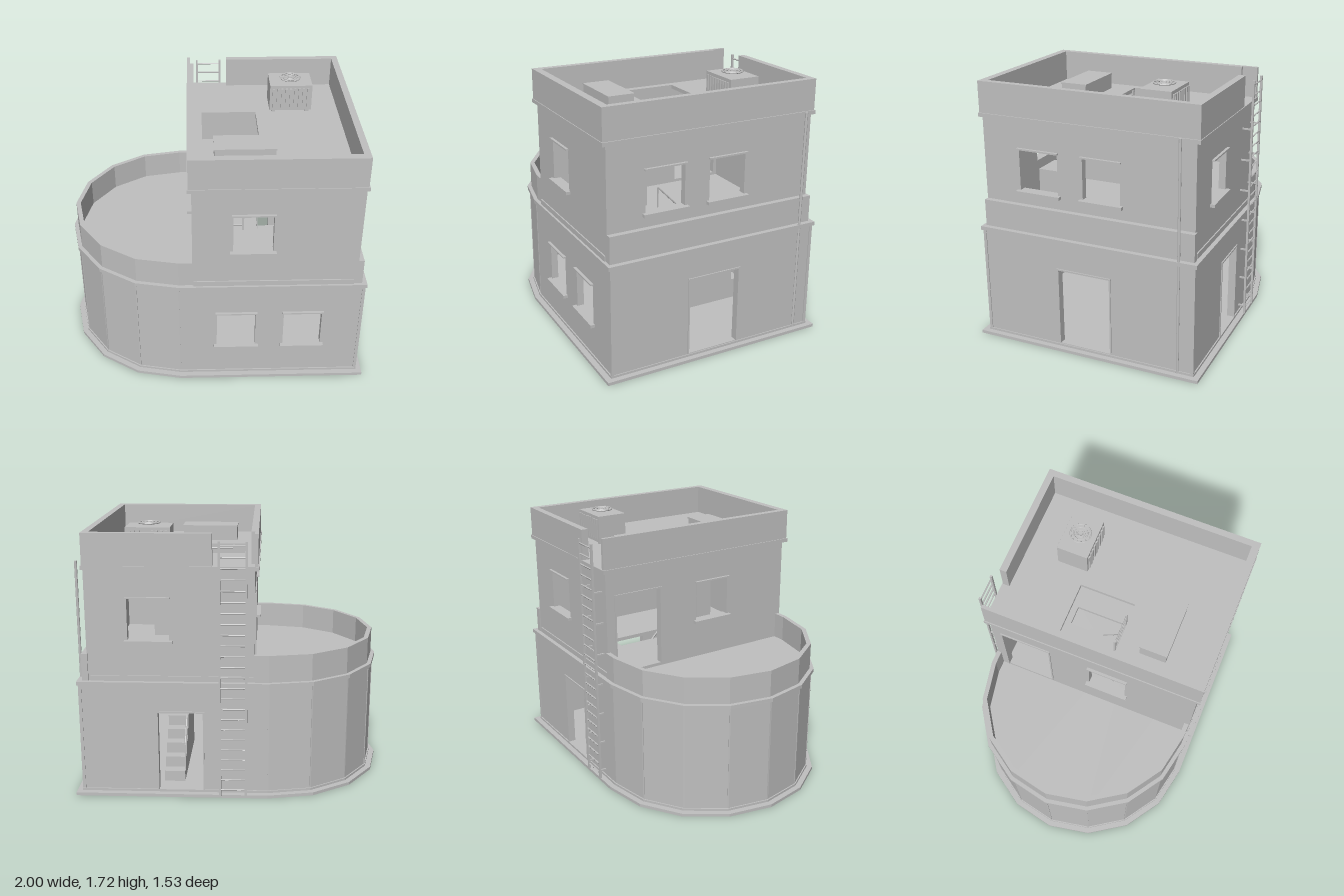
import * as THREE from 'three';

export function createModel() {
  const model = new THREE.Group();
  model.name = 'house';
  const mat = new THREE.MeshStandardMaterial({ color: 0xc0c0c0, flatShading: true });
  mat.name = 'concreteGrey';

  const add = (name, geo, parent = model) => {
    const m = new THREE.Mesh(geo, mat);
    m.name = name;
    parent.add(m);
    return m;
  };
  // Box given by its limits on each axis
  const box = (name, x0, x1, y0, y1, z0, z1, parent) => {
    const g = new THREE.BoxGeometry(x1 - x0, y1 - y0, z1 - z0);
    g.translate((x0 + x1) / 2, (y0 + y1) / 2, (z0 + z1) / 2);
    return add(name, g, parent);
  };
  const rectPath = (a, b, c, d) => new THREE.Path(
    [[a, c], [a, d], [b, d], [b, c]].map((p) => new THREE.Vector2(...p)));
  // Plan shape (x, -z) extruded upwards
  const slab = (name, shape, y0, y1) => {
    const g = new THREE.ExtrudeGeometry(shape, { depth: y1 - y0, bevelEnabled: false });
    g.rotateX(-Math.PI / 2);
    g.translate(0, y0, 0);
    return add(name, g);
  };

  // Footprint: straight on the +x end, faceted half round on the -x end
  const CX = -0.235;
  const arc = (r) => Array.from({ length: 9 }, (_, i) => {
    const a = Math.PI / 2 + (i * Math.PI) / 8;
    return new THREE.Vector2(CX + r * Math.cos(a), r * Math.sin(a));
  });
  const footprint = (r, x1) => new THREE.Shape(
    [new THREE.Vector2(x1, r), ...arc(r), new THREE.Vector2(x1, -r)]);
  const uBand = (ro, ri, x1) => new THREE.Shape([
    new THREE.Vector2(x1, ro), ...arc(ro), new THREE.Vector2(x1, -ro),
    new THREE.Vector2(x1, -ri), ...arc(ri).reverse(), new THREE.Vector2(x1, ri)]);

  // Flat wall with openings; pos is the outer face, u runs along x or z
  const wall = (name, side, pos, u0, u1, y0, y1, t, holes = []) => {
    const s = new THREE.Shape([[u0, y0], [u1, y0], [u1, y1], [u0, y1]].map((p) => new THREE.Vector2(...p)));
    holes.forEach((h) => s.holes.push(rectPath(...h)));
    const g = new THREE.ExtrudeGeometry(s, { depth: t, bevelEnabled: false });
    if (side === 'front') g.translate(0, 0, pos - t);
    if (side === 'back') g.translate(0, 0, pos);
    if (side === 'left' || side === 'right') {
      g.rotateY(-Math.PI / 2);
      g.translate(side === 'left' ? pos : pos + t, 0, 0);
    }
    add(name, g);
  };
  // Trim strip standing proud of a wall face
  const strip = (name, side, pos, u0, u1, y0, y1, d) => {
    const sgn = side === 'front' || side === 'left' ? 1 : -1;
    const a = Math.min(pos, pos + sgn * d), b = Math.max(pos, pos + sgn * d);
    if (side === 'front' || side === 'back') box(name, u0, u1, y0, y1, a, b);
    else box(name, a, b, y0, y1, u0, u1);
  };
  const windowTrim = (side, pos, [u0, u1, y0, y1]) => {
    strip('windowSill', side, pos, u0 - 0.02, u1 + 0.02, y0 - 0.02, y0, 0.03);
    strip('windowLintel', side, pos, u0 - 0.01, u1 + 0.01, y1, y1 + 0.01, 0.018);
  };
  const doorTrim = (side, pos, [u0, u1, y0, y1]) => {
    strip('doorLintel', side, pos, u0 - 0.012, u1 + 0.012, y1, y1 + 0.01, 0.008);
    strip('doorJamb', side, pos, u0 - 0.01, u0, y0, y1, 0.006);
    strip('doorJamb', side, pos, u1, u1 + 0.01, y0, y1, 0.006);
  };

  // Base
  slab('baseSlab', footprint(0.765, 1), 0, 0.02);
  slab('plinth', footprint(0.728, 0.966), 0.02, 0.035);

  // Ground floor walls
  const gw1 = [0.01, 0.265, 0.265, 0.53], gw2 = [0.45, 0.7, 0.265, 0.53];
  const backDoor = [0.18, 0.465, 0.035, 0.56], sideDoor = [-0.165, 0.185, 0.04, 0.555];
  const T = 0.045;
  wall('groundFrontWall', 'front', 0.72, CX, 0.96, 0.03, 0.74, T, [gw1, gw2]);
  wall('groundBackWall', 'back', -0.72, CX, 0.96, 0.03, 0.74, T, [backDoor]);
  wall('groundSideWall', 'left', 0.96 - T, -0.675, 0.675, 0.03, 0.74, T, [sideDoor]);
  model.children.at(-1).position.x = T;
  slab('groundRoundWall', uBand(0.72, 0.72 - T, CX), 0.03, 0.74);
  windowTrim('front', 0.72, gw1);
  windowTrim('front', 0.72, gw2);
  doorTrim('back', -0.72, backDoor);
  doorTrim('left', 0.96, sideDoor);

  // Thin joint ribs on the round wall and the square corners
  arc(0.719).forEach((p, i) => {
    const rib = add('wallRib', new THREE.BoxGeometry(0.008, 0.7, 0.008));
    rib.position.set(p.x, 0.388, -p.y);
    rib.rotation.y = Math.PI / 2 + (i * Math.PI) / 8;
  });
  for (const z of [-0.715, 0.715]) box('cornerRib', 0.945, 0.965, 0.035, 0.74, z - 0.01, z + 0.01);

  // Deck with stair opening, terrace parapet
  const deck = footprint(0.737, 0.972);
  deck.holes.push(rectPath(0.31, 0.45, -0.09, 0.35));
  slab('terraceDeck', deck, 0.74, 0.765);
  slab('terraceParapet', uBand(0.71, 0.68, -0.14), 0.765, 0.94);
  box('sideParapet', 0.9, 0.94, 0.765, 0.94, -0.71, 0.715);

  // Upper floor walls
  const uf = [0.11, 0.36, 1.03, 1.295], ub = [0.385, 0.645, 1.03, 1.295];
  const ur1 = [0.2, 0.465, 1.03, 1.295], ur2 = [-0.22, 0.03, 1.03, 1.295];
  const ul = [-0.015, 0.24, 1.03, 1.295], terraceDoor = [-0.63, -0.3, 0.785, 1.31];
  wall('upperFrontWall', 'front', 0.715, -0.145, 0.905, 0.765, 1.48, T, [uf]);
  wall('upperBackWall', 'back', -0.7, -0.145, 0.905, 0.765, 1.48, T, [ub]);
  wall('upperSideWall', 'left', 0.905, -0.655, 0.67, 0.765, 1.48, T, [ur1, ur2]);
  wall('upperTerraceWall', 'right', -0.145, -0.655, 0.67, 0.765, 1.48, T, [ul, terraceDoor]);
  windowTrim('front', 0.715, uf);
  windowTrim('back', -0.7, ub);
  windowTrim('left', 0.905, ur1);
  windowTrim('left', 0.905, ur2);
  windowTrim('right', -0.145, ul);
  doorTrim('right', -0.145, terraceDoor);
  strip('upperSkirting', 'front', 0.715, -0.14, 0.885, 0.765, 0.8, 0.008);
  strip('upperSkirting', 'back', -0.7, -0.14, 0.885, 0.765, 0.8, 0.008);

  // Roof with hatch
  const roof = new THREE.Shape([[-0.172, -0.74], [0.916, -0.74], [0.916, 0.725], [-0.172, 0.725]]
    .map((p) => new THREE.Vector2(...p)));
  roof.holes.push(rectPath(-0.07, 0.3, -0.125, 0.25));
  slab('roofSlab', roof, 1.475, 1.5);

  // Roof parapet, open at the back for the ladder
  box('roofParapetFront', -0.165, 0.908, 1.5, 1.7, 0.685, 0.735);
  box('roofParapetBack', 0.115, 0.908, 1.5, 1.7, -0.72, -0.675);
  box('roofParapetSide', 0.865, 0.908, 1.5, 1.7, -0.675, 0.685);
  box('roofParapetTerrace', -0.165, -0.12, 1.5, 1.7, -0.62, 0.685);
  box('roofParapetEnd', -0.165, -0.143, 1.5, 1.7, -0.72, -0.62);

  // Rooftop box
  box('roofVentBox', 0, 0.38, 1.5, 1.6, 0.27, 0.445);
  box('roofVentLid', -0.004, 0.384, 1.595, 1.605, 0.266, 0.449);

  // Cooling unit with slats and fan
  const cooler = new THREE.Group();
  cooler.name = 'coolingUnit';
  model.add(cooler);
  box('coolerBody', 0.395, 0.68, 1.515, 1.695, -0.45, -0.245, cooler);
  for (const x of [0.41, 0.64]) box('coolerFoot', x, x + 0.025, 1.5, 1.515, -0.44, -0.255, cooler);
  for (let i = 0; i < 9; i++) {
    const x = 0.413 + i * 0.029;
    for (const z of [-0.46, -0.245]) box('coolerSlat', x, x + 0.014, 1.535, 1.675, z, z + 0.01, cooler);
  }
  for (const r of [0.066, 0.045, 0.025]) {
    const ring = add('fanRing', new THREE.TorusGeometry(r, 0.005, 6, 24), cooler);
    ring.rotation.x = Math.PI / 2;
    ring.position.set(0.537, 1.712, -0.347);
  }
  add('fanHub', new THREE.CylinderGeometry(0.014, 0.014, 0.022, 12), cooler).position.set(0.537, 1.706, -0.347);
  for (let i = 0; i < 3; i++) {
    const bar = add('fanBar', new THREE.BoxGeometry(0.13, 0.005, 0.006), cooler);
    bar.position.set(0.537, 1.712, -0.347);
    bar.rotation.y = (i * Math.PI) / 3;
  }

  // Ladders: outside up to the roof, inside up to the hatch
  const ladder = (name, x0, x1, z, y0, y1, n, r) => {
    const g = new THREE.Group();
    g.name = name;
    model.add(g);
    for (const x of [x0, x1]) box('ladderRail', x - r, x + r, y0, y1, z - r, z + r, g);
    for (let i = 0; i < n; i++) {
      const rung = add('ladderRung', new THREE.CylinderGeometry(r * 0.7, r * 0.7, x1 - x0, 6), g);
      rung.rotation.z = Math.PI / 2;
      rung.position.set((x0 + x1) / 2, y0 + ((i + 0.6) * (y1 - y0)) / n, z);
    }
    return g;
  };
  const outer = ladder('roofLadder', -0.095, 0.07, -0.763, 0.015, 1.66, 24, 0.007);
  for (let i = 0; i < 7; i++) for (const x of [-0.095, 0.07]) {
    const y = 0.075 + i * 0.211;
    box('ladderBracket', x - 0.005, x + 0.005, y - 0.005, y + 0.005, -0.763, -0.695, outer);
  }
  ladder('hatchLadder', 0.015, 0.21, 0.1, 0.765, 1.5, 11, 0.007);

  // Downpipe
  const pipe = add('downpipe', new THREE.CylinderGeometry(0.009, 0.009, 1.49, 10));
  pipe.position.set(0.963, 0.767, -0.62);

  // Indoor stairs with a handrail
  for (let i = 0; i < 10; i++) {
    const z = -0.6 + i * 0.0695;
    box('stairStep', 0.31, 0.445, 0.035, 0.035 + (i + 1) * 0.071, z, z + 0.0695);
    if (i % 3 === 0) box('railPost', 0.306, 0.314, 0.1 + i * 0.071, 0.28 + i * 0.071, z + 0.03, z + 0.038);
  }
  const rail = new THREE.LineCurve3(new THREE.Vector3(0.31, 0.28, -0.566), new THREE.Vector3(0.31, 0.92, 0.06));
  add('stairRail', new THREE.TubeGeometry(rail, 1, 0.006, 6));

  // Low cabinet in the upper room
  box('cabinet', 0.42, 0.62, 0.765, 1.075, 0.365, 0.5);

  return model;
}
